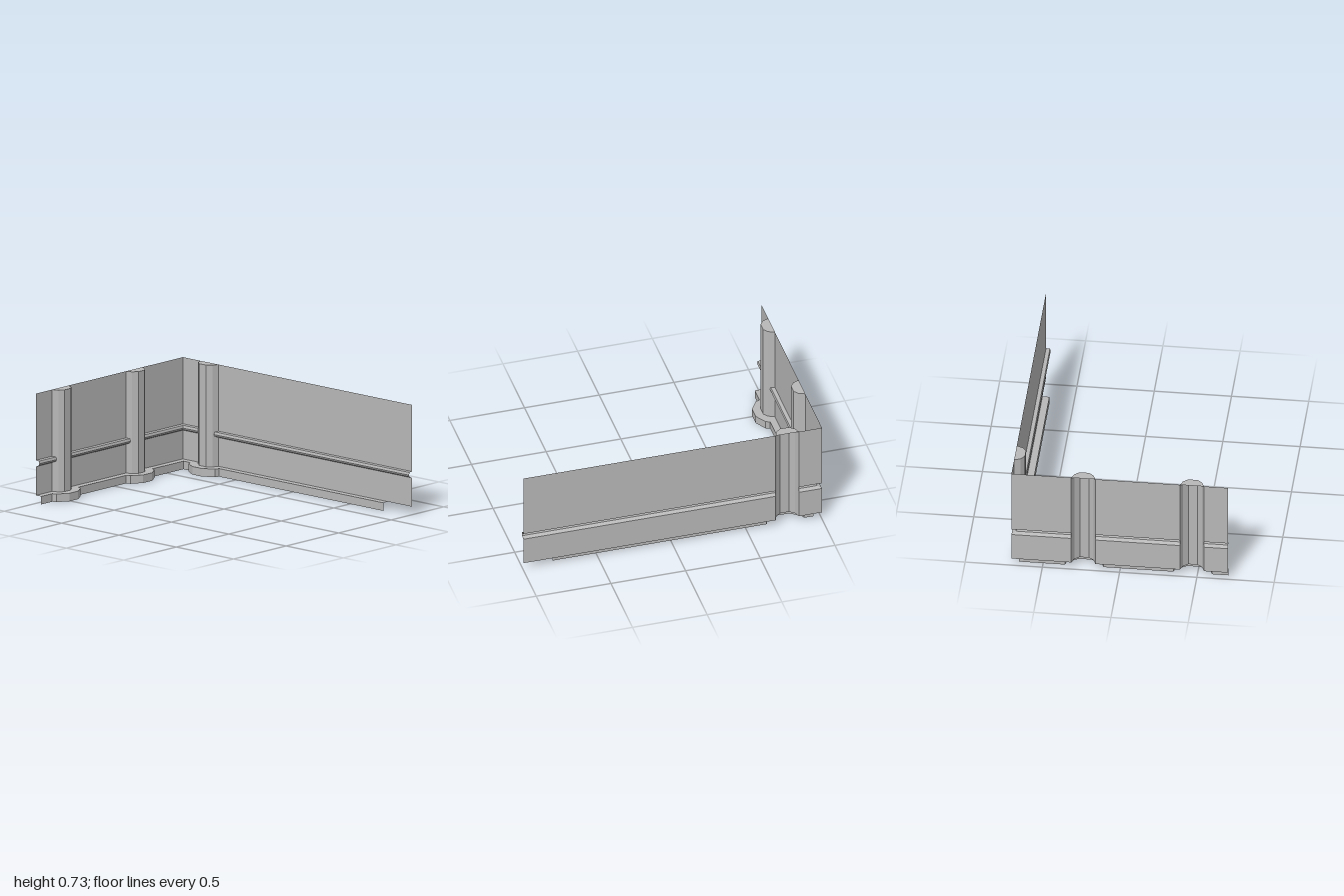
import * as THREE from 'three';

const TOP = 0.725, SHELF = 0.053;
const stone = new THREE.MeshStandardMaterial({ color: 0xb8b8b8, side: THREE.DoubleSide });
stone.name = 'plain grey';

// Outlines across a half column and its footing: [offset along wall, depth into room]
const columnPlan = [[-0.078, 0], [-0.062, 0.04], [-0.03, 0.065], [0.03, 0.065], [0.062, 0.04], [0.078, 0]];
const footPlan = [[-0.125, 0.045], [-0.115, 0.073], [-0.042, 0.118], [0.042, 0.118], [0.115, 0.073], [0.125, 0.045]];
// Wall section with its hollow rail: [depth, height]
const wallSection = [[0, TOP], [0, 0.285], [0.025, 0.283], [0.03, 0.266], [0.025, 0.254], [0, 0.243], [0, SHELF]];

// Flat-faced sheet joining two rows of points
function sheet(name, rowA, rowB) {
  const pos = [];
  for (let i = 0; i + 1 < rowA.length; i++) {
    const a = rowA[i], b = rowA[i + 1], c = rowB[i + 1], d = rowB[i];
    for (const p of [a, b, c, a, c, d]) pos.push(...p);
  }
  const geo = new THREE.BufferGeometry();
  geo.setAttribute('position', new THREE.Float32BufferAttribute(pos, 3));
  geo.computeVertexNormals();
  const mesh = new THREE.Mesh(geo, stone);
  mesh.name = name;
  return mesh;
}

// place(s, y, d): distance along the wall, height, depth into the room
function buildWall(name, place, start, end, skirtEnd, columns) {
  const wall = new THREE.Group();
  wall.name = name;

  // Panels between the columns, rail mitred at the corner and trimmed to the columns
  const halfWidth = (d) => 0.078 - 0.4 * d;
  const stops = [start, ...columns, end];
  for (let i = 0; i + 1 < stops.length; i++) {
    const first = i === 0, last = i === columns.length;
    const from = wallSection.map(([d, y]) => place(stops[i] + (first ? d : halfWidth(d)), y, d));
    const to = wallSection.map(([d, y]) => place(stops[i + 1] - (last ? 0 : halfWidth(d)), y, d));
    wall.add(sheet('panelWithRail', from, to));
  }

  // Half columns, open at the back, with a flat top
  for (const c of columns) {
    const ring = (y) => columnPlan.map(([s, d]) => place(c + s, y, d));
    const back = (y) => columnPlan.map(([s]) => place(c + s, y, 0));
    wall.add(sheet('column', ring(TOP), ring(SHELF)));
    wall.add(sheet('columnTop', ring(TOP), back(TOP)));
  }

  // Base shelf and skirt stepping out around every column
  const inner = [[start, 0]], outer = [[start + 0.045, 0.045]];
  for (const c of columns) {
    inner.push(...columnPlan.map(([s, d]) => [c + s, d]));
    outer.push(...footPlan.map(([s, d]) => [c + s, d]));
  }
  inner.push([skirtEnd, 0]);
  outer.push([skirtEnd, 0.045]);
  const row = (plan, y) => plan.map(([s, d]) => place(s, y, d));
  wall.add(sheet('baseShelf', row(inner, SHELF), row(outer, SHELF)));
  wall.add(sheet('baseSkirt', row(outer, SHELF), row(outer, 0)));
  return wall;
}

export function createModel() {
  const model = new THREE.Group();
  model.name = 'cornerWall';
  model.add(buildWall('backWall', (s, y, d) => [s, y, -0.7 + d], -1, 1, 0.79, [-0.768]));
  model.add(buildWall('sideWall', (s, y, d) => [-1 + d, y, s], -0.7, 0.7, 0.7, [-0.235, 0.468]));
  return model;
}
